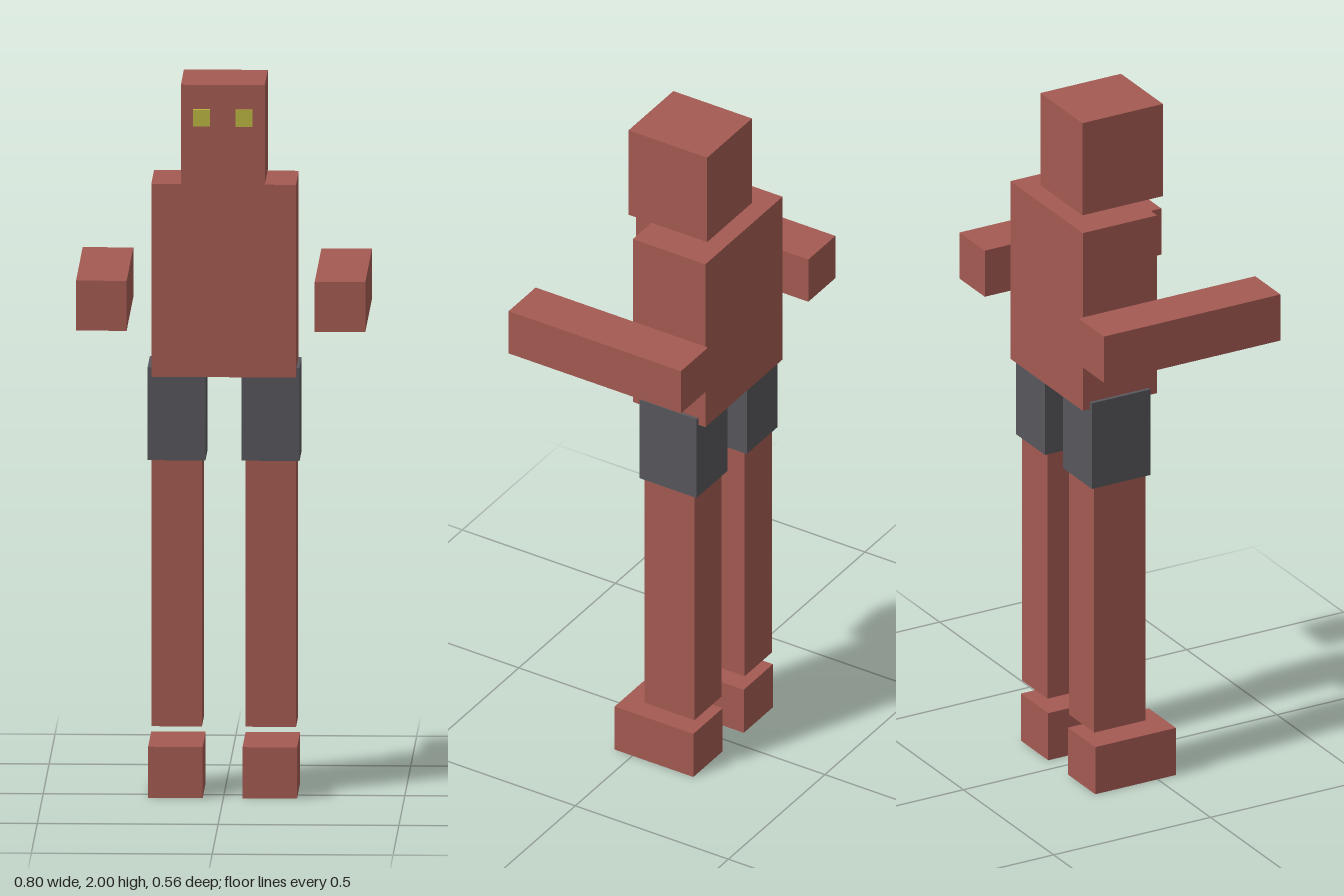
import * as THREE from 'three';

const material = (name, color) => {
  const m = new THREE.MeshStandardMaterial({ color });
  m.name = name;
  return m;
};

export function createModel() {
  const model = new THREE.Group();
  model.name = 'blockFigure';
  const clay = material('redwood', 0xa45a52);
  const grey = material('charcoal', 0x57575c);
  const yellow = material('yellow', 0xbab342);

  // Box given by its [min, max] extent on each axis
  const block = (name, mat, [x0, x1], [y0, y1], [z0, z1]) => {
    const mesh = new THREE.Mesh(new THREE.BoxGeometry(x1 - x0, y1 - y0, z1 - z0), mat);
    mesh.position.set((x0 + x1) / 2, (y0 + y1) / 2, (z0 + z1) / 2);
    mesh.name = name;
    model.add(mesh);
  };

  // Head and torso
  block('head', clay, [-0.117, 0.115], [1.72, 2], [-0.188, 0.069]);
  block('torso', clay, [-0.201, 0.199], [1.17, 1.71], [-0.235, 0.002]);

  // Paired parts, whose centre line sits slightly off x = 0
  for (const [side, s] of [['left', 1], ['right', -1]]) {
    const pair = (name, mat, inner, outer, y, z, mid = -0.002) => {
      const a = mid + s * inner, b = mid + s * outer;
      block(side + name, mat, [Math.min(a, b), Math.max(a, b)], y, z);
    };
    pair('Eye', yellow, 0.035, 0.082, [1.885, 1.932], [0.069, 0.081], -0.001);
    pair('Arm', clay, 0.26, 0.4, [1.345, 1.485], [-0.282, 0.281], 0);
    pair('ShortsLeg', grey, 0.05, 0.21, [0.932, 1.192], [-0.212, -0.025]);
    pair('Leg', clay, 0.06, 0.2, [0.185, 1.16], [-0.199, -0.035]);
    pair('Foot', clay, 0.055, 0.206, [0, 0.143], [-0.199, 0.058]);
  }
  return model;
}
